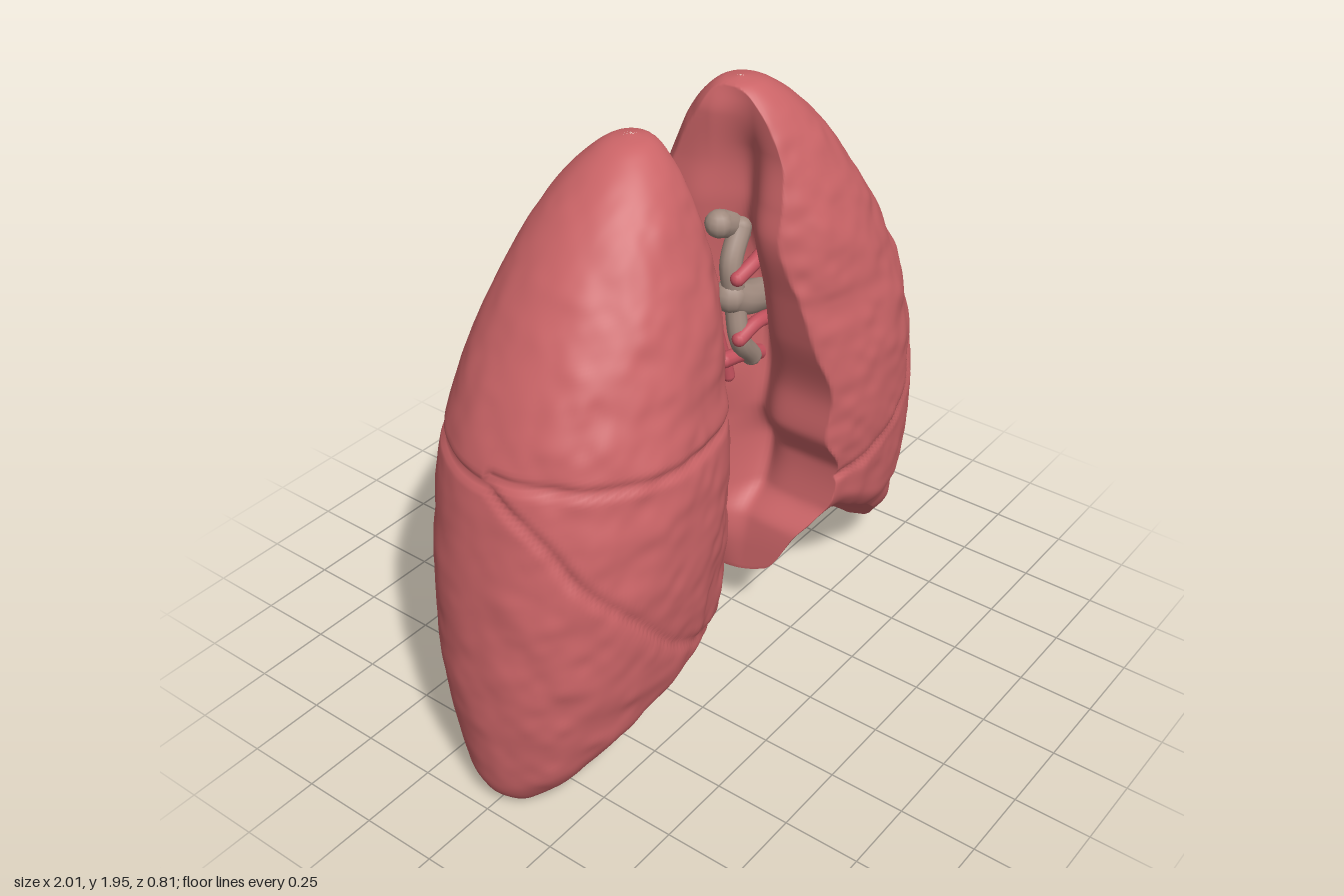
import * as THREE from 'three';

const tissue = new THREE.MeshStandardMaterial({ color: 0xcb6467 });
tissue.name = 'lung tissue';
const cartilage = new THREE.MeshStandardMaterial({ color: 0xa28c80 });
cartilage.name = 'airway cartilage';
const vessel = new THREE.MeshStandardMaterial({ color: 0xc4525e });
vessel.name = 'blood vessel';

const { lerp, smoothstep } = THREE.MathUtils;

// Smooth interpolation through [position, value] pairs
function sample(table, p) {
  const n = table.length - 1;
  if (p <= table[0][0]) return table[0][1];
  if (p >= table[n][0]) return table[n][1];
  let i = 0;
  while (p > table[i + 1][0]) i++;
  const slope = k => (table[k + 1][1] - table[k][1]) / (table[k + 1][0] - table[k][0]);
  const tangent = k => {
    if (k === 0) return slope(0);
    if (k === n) return slope(n - 1);
    const a = slope(k - 1), b = slope(k);
    return a * b <= 0 ? 0 : 2 * a * b / (a + b);
  };
  const h = table[i + 1][0] - table[i][0], t = (p - table[i][0]) / h;
  const t2 = t * t, t3 = t2 * t;
  return (2 * t3 - 3 * t2 + 1) * table[i][1] + (t3 - 2 * t2 + t) * h * tangent(i)
    + (3 * t2 - 2 * t3) * table[i + 1][1] + (t3 - t2) * h * tangent(i + 1);
}

// Shared profiles by height: outer edge, inner edge, half depth
const TOP = 1.95;
const outer = [[0, 0.95], [0.05, 0.97], [0.2, 0.99], [0.4, 1], [0.6, 0.99], [0.8, 0.97], [1, 0.935],
  [1.17, 0.895], [1.4, 0.79], [1.6, 0.665], [1.75, 0.55], [1.85, 0.45], [1.91, 0.375], [1.94, 0.315], [TOP, 0.255]];
const inner = [[0, 0.12], [0.3, 0.07], [1.5, 0.06], [1.7, 0.09], [1.85, 0.135], [1.91, 0.165], [1.94, 0.2], [TOP, 0.25]];
const depth = [[0, 0.22], [0.1, 0.265], [0.2, 0.305], [0.4, 0.36], [0.6, 0.39], [0.8, 0.402], [1, 0.402], [1.2, 0.38],
  [1.4, 0.342], [1.6, 0.28], [1.75, 0.215], [1.85, 0.155], [1.91, 0.1], [1.94, 0.055], [TOP, 0]];

// Tables by angle in degrees: 0 outer, 90 front, 180 inner, 270 back
const backRim = [[225, 0.175], [270, 0.145], [300, 0.08], [330, 0.03], [350, 0.004], [360, 0]];
const backFissure = [[185, 0.3], [204, 0.2], [210, 0.55], [222, 0.9], [240, 1.1], [270, 1.17]];
const sides = {
  right: {
    sign: -1,
    rim: [[0, 0], [10, 0.004], [35, 0.06], [60, 0.17], [78, 0.27], [95, 0.34], [115, 0.37], [128, 0.36], [152, 0.23],
      [180, 0.2], ...backRim],
    fissure: [[0, 1.14], [25, 1.02], [40, 0.9], [65, 0.73], [90, 0.53], [111, 0.44], [126, 0.41], [150, 0.4],
      ...backFissure, [360, 1.14]],
    horizontal: true,
    frontEdge: [[0.2, 0.14], [0.45, 0.17], [0.75, 0.14], [1, 0.16], [1.2, 0.23], [1.4, 0.18], [1.55, 0.17], [1.8, 0.2], [TOP, 0.2]],
    backEdge: [[0.2, 0.13], [1.75, 0.13], [1.85, 0.15], [TOP, 0.2]],
  },
  left: {
    sign: 1,
    rim: [[0, 0], [10, 0.004], [35, 0.06], [60, 0.2], [78, 0.32], [95, 0.42], [112, 0.48], [126, 0.42], [148, 0.24],
      [180, 0.19], ...backRim],
    fissure: [[0, 1.15], [31, 1.1], [49, 0.95], [65, 0.84], [78, 0.75], [90, 0.7], [111, 0.64], [130, 0.6], [150, 0.55],
      ...backFissure, [360, 1.15]],
    horizontal: false,
    frontEdge: [[0.2, 0.2], [0.4, 0.23], [0.5, 0.31], [0.65, 0.33], [0.8, 0.27], [0.92, 0.28], [1.15, 0.22], [1.3, 0.19],
      [1.5, 0.15], [1.6, 0.17], [1.75, 0.2], [TOP, 0.2]],
    backEdge: [[0.2, 0.2], [0.4, 0.17], [0.75, 0.19], [0.95, 0.13], [1.55, 0.13], [1.7, 0.15], [1.85, 0.16], [TOP, 0.2]],
  },
};

const bump = (d, width) => Math.exp(-((d / width) ** 2));

// Depth of the grooves between the lobes
function groove(side, deg, y) {
  const g = d => sample(side.fissure, (d + 360) % 360);
  const slope = (g(deg + 1.5) - g(deg - 1.5)) / (3 * Math.PI / 180 * 0.42);
  let d = bump((y - g(deg)) / Math.hypot(1, slope), 0.014);
  if (side.horizontal && deg < 160) d = Math.max(d, bump(y - 1.155 - 0.015 * Math.cos(deg * Math.PI / 180), 0.014));
  return 0.015 * d;
}

// Smooth seeded noise on a lattice, from -1 to 1
function hash(i, j, k) {
  let h = Math.imul(i, 374761393) ^ Math.imul(j, 668265263) ^ Math.imul(k, 2147482634);
  h = Math.imul(h ^ (h >>> 13), 1274126177);
  return ((h ^ (h >>> 16)) >>> 0) / 2147483648 - 1;
}
function noise(x, y, z) {
  const i = Math.floor(x), j = Math.floor(y), k = Math.floor(z);
  const u = smoothstep(x - i, 0, 1), v = smoothstep(y - j, 0, 1), w = smoothstep(z - k, 0, 1);
  const edge = (b, c) => lerp(hash(i, b, c), hash(i + 1, b, c), u);
  const sheet = c => lerp(edge(j, c), edge(j + 1, c), v);
  return lerp(sheet(k), sheet(k + 1), w);
}

// Soft lumps, stronger on the front
function lumps(x, y, z) {
  const n = noise(11 * x, 11 * y, 11 * z) + 0.5 * noise(21 * x + 7, 21 * y, 21 * z);
  return n * (0.003 + 0.005 * smoothstep(z, 0, 0.25));
}

function wallPoint(side, deg, s) {
  const a = deg * Math.PI / 180, base = sample(side.rim, deg);
  const y = base + (TOP - base) * s;
  const xo = sample(outer, y), xi = sample(inner, y);
  const round = v => Math.sign(v) * Math.abs(v) ** 0.94;
  const cx = (xo + xi) / 2;
  let x = cx + (xo - xi) / 2 * round(Math.cos(a));
  let z = sample(depth, y) * round(Math.sin(a));
  const r = Math.hypot(x - cx, z);
  if (r > 0.03) {
    // Lumps, grooves and a rounded lower rim, rounder at the back
    const curl = (0.07 + 0.09 * Math.max(0, -Math.sin(a))) * Math.max(0, 1 - s / 0.05) ** 2;
    const k = 1 - curl + (lumps(x, y, z) - groove(side, deg, y)) * Math.min(1, r / 0.2) / r;
    x = cx + (x - cx) * k;
    z *= k;
  }
  // Flat inner face with a thinner front border
  const front = smoothstep(z, -0.05, 0.08);
  x = Math.max(x, lerp(sample(side.backEdge, y), sample(side.frontEdge, y), front));
  // Long furrow, and a hollow where the airways enter
  if (deg > 120 && deg < 240) {
    x += 0.07 * bump(z - 0.03, 0.07) * smoothstep(y, 0.3, 0.7) * (1 - smoothstep(y, 1.6, 1.9));
    x += 0.11 * bump(y - 1.24, 0.29) * bump(z - 0.02, 0.08);
  }
  return [x, y, z];
}

function lungGeometry(side) {
  const cols = 188, capRows = 14, wallRows = 156;
  const positions = [], index = [];
  const middle = [0.57, 0.245, 0];
  for (let j = 0; j <= capRows + wallRows; j++) {
    for (let i = 0; i < cols; i++) {
      const deg = i / cols * 360;
      let p;
      if (j < capRows) {
        // Underside sloping up from the back rim to the front rim
        const r = Math.sin(j / capRows * Math.PI / 2), rim = wallPoint(side, deg, 0);
        p = [lerp(middle[0], rim[0], r), lerp(middle[1], rim[1], r ** 1.4), rim[2] * r];
      } else {
        const t = (j - capRows) / wallRows;
        p = wallPoint(side, deg, 1 - (1 - t) ** 1.25);
      }
      positions.push(p[0] * side.sign, p[1], p[2]);
    }
  }
  const face = (a, b, c) => side.sign > 0 ? index.push(a, b, c) : index.push(a, c, b);
  for (let j = 0; j < capRows + wallRows; j++) {
    for (let i = 0; i < cols; i++) {
      const n = (i + 1) % cols, a = j * cols + i, b = j * cols + n;
      if (j < capRows + wallRows - 1) face(a, a + cols, b + cols);
      if (j > 0) face(a, b + cols, b);
    }
  }
  const geometry = new THREE.BufferGeometry();
  geometry.setAttribute('position', new THREE.Float32BufferAttribute(positions, 3));
  geometry.setIndex(index);
  geometry.computeVertexNormals();
  return geometry;
}

// Airways and vessels in the hollow: name, material, radius, path
const rootParts = [
  ['mainBronchus', cartilage, 0.055, [[0.38, 1.18, 0.02], [0.25, 1.22, 0.03], [0.19, 1.25, 0.02]]],
  ['upperBronchus', cartilage, 0.036, [[0.2, 1.24, 0.03], [0.19, 1.36, 0.02], [0.25, 1.46, 0.01]]],
  ['lowerBronchus', cartilage, 0.034, [[0.2, 1.22, 0.03], [0.2, 1.1, 0.05], [0.28, 1.0, 0.04]]],
  ['upperBronchusTip', cartilage, 0.045, [[0.3, 1.43, -0.02], [0.23, 1.47, -0.02], [0.18, 1.49, -0.02]]],
  ['upperArtery', vessel, 0.024, [[0.34, 1.38, 0.06], [0.24, 1.36, 0.07], [0.17, 1.33, 0.06]]],
  ['middleVein', vessel, 0.024, [[0.36, 1.13, 0.08], [0.25, 1.15, 0.08], [0.17, 1.12, 0.07]]],
  ['lowerVein', vessel, 0.026, [[0.34, 0.98, 0.03], [0.24, 1.02, 0.03], [0.16, 1.03, 0.02]]],
  ['backVessel', vessel, 0.022, [[0.32, 1.34, -0.06], [0.2, 1.2, -0.05], [0.24, 0.92, -0.02]]],
];

function lungRoot(side) {
  const root = new THREE.Group();
  for (const [name, material, radius, path] of rootParts) {
    const points = path.map(([x, y, z]) => new THREE.Vector3(x * side.sign, y, z));
    const tube = new THREE.Mesh(new THREE.TubeGeometry(new THREE.CatmullRomCurve3(points), 16, radius, 12), material);
    tube.name = name;
    const end = new THREE.Mesh(new THREE.SphereGeometry(radius, 12, 8), material);
    end.name = name + 'End';
    end.position.copy(points[2]);
    root.add(tube, end);
  }
  return root;
}

export function createModel() {
  const model = new THREE.Group();
  model.name = 'lungs';
  for (const [name, side] of Object.entries(sides)) {
    const lung = new THREE.Mesh(lungGeometry(side), tissue);
    lung.name = name + 'Lung';
    const root = lungRoot(side);
    root.name = name + 'LungRoot';
    model.add(lung, root);
  }
  return model;
}
